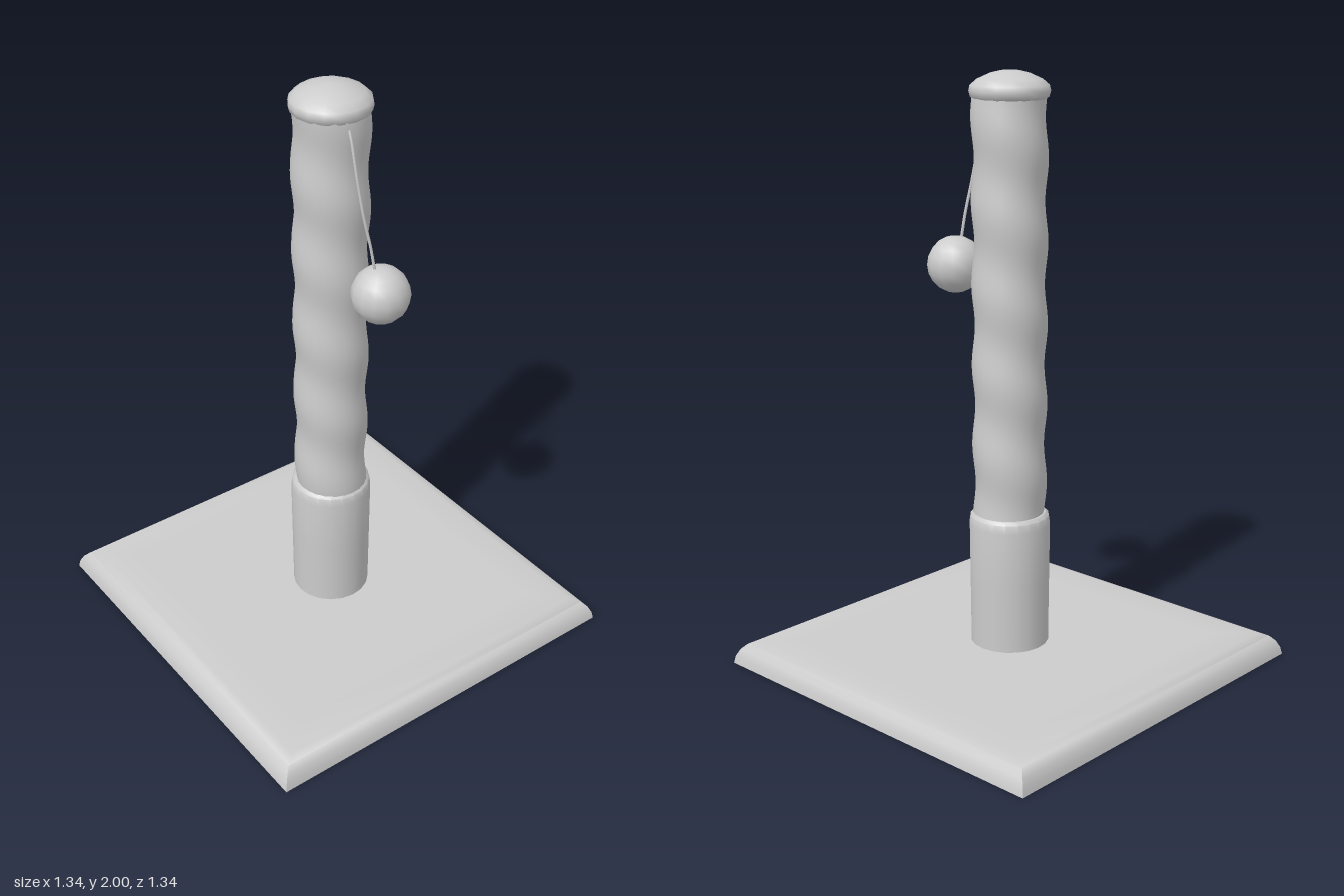
import * as THREE from 'three';
import { toCreasedNormals } from 'three/addons/utils/BufferGeometryUtils.js';

const grey = new THREE.MeshStandardMaterial({ color: 0xcccccc, side: THREE.DoubleSide });

const profile = (pairs, scale = 1) => pairs.map(([r, y]) => new THREE.Vector2(r * scale, y));

export function createModel() {
  const model = new THREE.Group();
  model.name = 'scratchingPost';
  const add = (name, geometry, x = 0, y = 0, z = 0) => {
    const mesh = new THREE.Mesh(geometry, grey);
    mesh.name = name;
    mesh.position.set(x, y, z);
    model.add(mesh);
    return mesh;
  };

  // Square hollow base with a rounded upper edge: a four-sided lathe
  const baseProfile = profile([
    [0, 0.06], [0.57, 0.06], [0.61, 0.045], [0.635, 0.015], [0.64, 0], [0.67, 0],
    [0.665, 0.025], [0.653, 0.05], [0.635, 0.069], [0.605, 0.079], [0.5, 0.08], [0, 0.08],
  ], Math.SQRT2);
  add('base', toCreasedNormals(new THREE.LatheGeometry(baseProfile, 4, Math.PI / 4), 0.9));

  // Square fixing plate under the base
  add('fixingPlate', new THREE.BoxGeometry(0.13, 0.006, 0.13), 0, 0.055, 0);

  // Plain fabric sleeve around the foot of the post, leaning very slightly
  const sleeve = new THREE.LatheGeometry(profile([
    [0, 0.057], [0.133, 0.057], [0.133, 0.1], [0.135, 0.3], [0.137, 0.5], [0.133, 0.53], [0.122, 0.54], [0, 0.54],
  ]), 20);
  add('sleeve', toCreasedNormals(sleeve, 0.7));

  // Rope-wound column: a helical swell moves the cylinder's vertices
  const bottom = 0.52, top = 1.93, pitch = 0.27;
  const column = new THREE.CylinderGeometry(0.12, 0.12, top - bottom, 24, 60, true);
  column.translate(0, (top + bottom) / 2, 0);
  const pos = column.attributes.position;
  for (let i = 0; i < pos.count; i++) {
    const x = pos.getX(i), y = pos.getY(i), z = pos.getZ(i);
    const angle = Math.atan2(x, z);
    const swell = 1 + 0.045 * Math.sin(angle + y / pitch * Math.PI * 2);
    pos.setXYZ(i, x * swell, y, z * swell);
  }
  add('ropeColumn', toCreasedNormals(column, 0.9));

  // Domed cap
  add('cap', new THREE.LatheGeometry(profile([
    [0, 1.91], [0.115, 1.91], [0.126, 1.916], [0.131, 1.935], [0.127, 1.953],
    [0.105, 1.972], [0.065, 1.99], [0.03, 1.998], [0, 2],
  ]), 16));

  // Hanging cord and ball
  const cord = new THREE.CatmullRomCurve3([
    [0.105, 1.92, 0.02], [0.13, 1.87, 0.022], [0.158, 1.76, 0.022],
    [0.182, 1.63, 0.012], [0.195, 1.53, -0.005], [0.203, 1.43, -0.02],
  ].map((p) => new THREE.Vector3(...p)));
  add('cord', new THREE.TubeGeometry(cord, 24, 0.005, 6));
  add('ball', new THREE.SphereGeometry(0.095, 14, 10), 0.212, 1.36, -0.035);

  return model;
}
